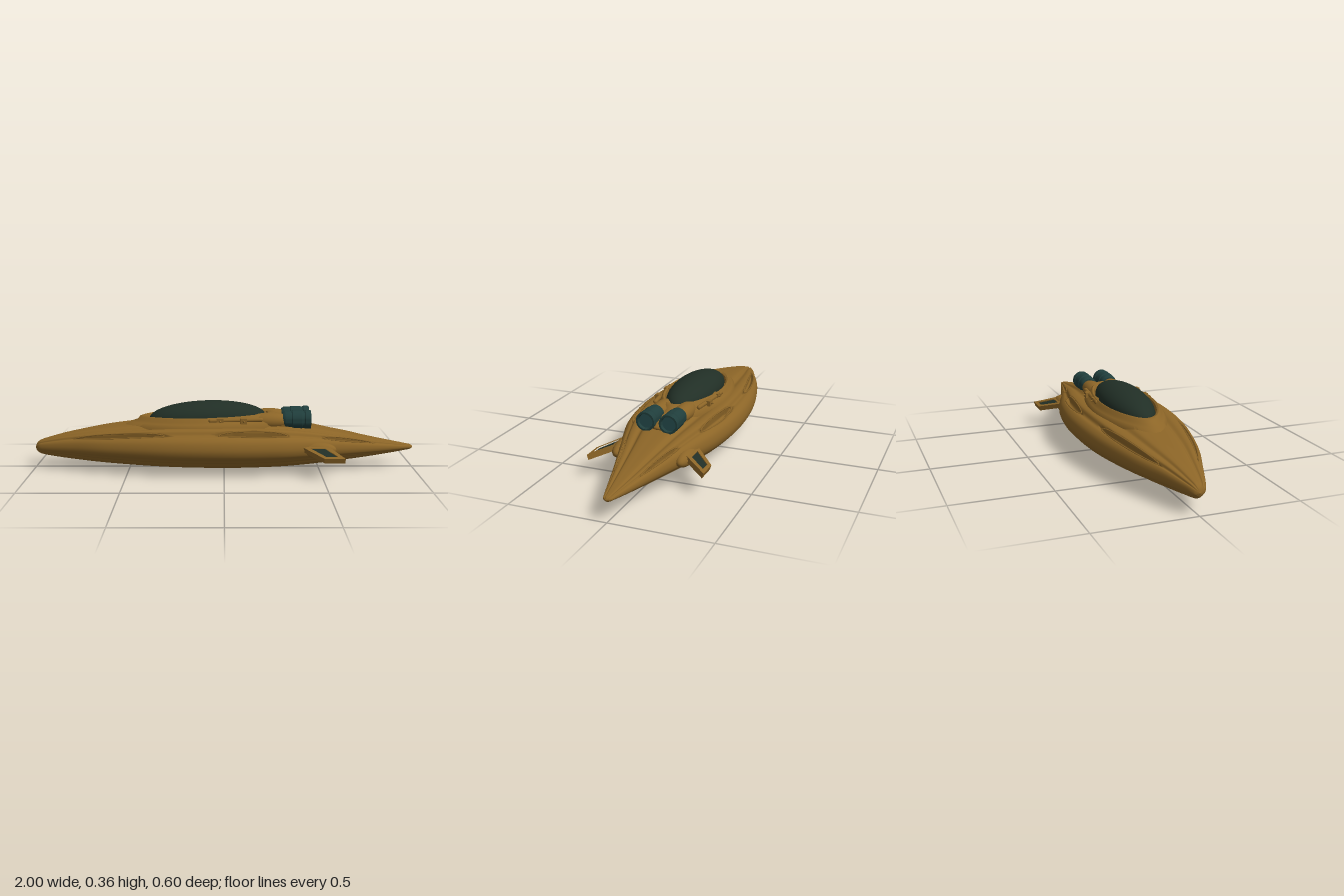
import * as THREE from 'three';
import { toCreasedNormals } from 'three/addons/utils/BufferGeometryUtils.js';

const V = (x, y, z = 0) => new THREE.Vector3(x, y, z);

// Hull stations: x, half width, top, bottom
const STATIONS = [
  [-1, 0, 0.105, 0.105], [-0.985, 0.03, 0.135, 0.08], [-0.94, 0.055, 0.155, 0.065],
  [-0.8, 0.11, 0.19, 0.045], [-0.6, 0.185, 0.222, 0.025], [-0.3, 0.255, 0.25, 0.006],
  [0, 0.275, 0.258, 0], [0.25, 0.248, 0.25, 0.005], [0.42, 0.2, 0.23, 0.016],
  [0.6, 0.14, 0.195, 0.036], [0.8, 0.078, 0.155, 0.063], [0.96, 0.03, 0.125, 0.09],
  [0.99, 0.018, 0.118, 0.097], [1, 0, 0.108, 0.108],
];
// Lobed half section at the widest station, bottom to top: z, y
const SECTION = [
  [0, 0.003], [0.05, 0.006], [0.085, 0.02], [0.1, 0.035], [0.12, 0.03], [0.155, 0.04],
  [0.175, 0.062], [0.2, 0.068], [0.23, 0.075], [0.245, 0.09], [0.265, 0.11], [0.275, 0.145],
  [0.265, 0.185], [0.24, 0.208], [0.215, 0.213], [0.2, 0.235], [0.165, 0.24], [0.13, 0.232],
  [0.1, 0.25], [0.05, 0.255], [0, 0.255],
];
// Slots along the upper groove: start and end in station units
const SLOTS = [[3.15, 5], [5.9, 7.4], [8.5, 9.9]];
const SLOT_U = 0.7, SLOT_W = 0.045;

const spline = (pts) => new THREE.CatmullRomCurve3(pts, false, 'catmullrom');
const plan = spline(STATIONS.map(([x, w]) => V(x, w)));
const heights = spline(STATIONS.map(([, , top, bottom]) => V(top, bottom)));
const section = spline(SECTION.map(([z, y]) => V(z / 0.275, (y - 0.003) / 0.252)));

// Point on the hull: t runs nose to tail in station units, u bottom to top
function hullPoint(t, u, side, dent = 0) {
  const k = t / (STATIONS.length - 1);
  const p = plan.getPoint(k), h = heights.getPoint(k), s = section.getPoint(u);
  const tall = h.x - h.y;
  return V(p.x, h.y + (s.y - dent * 0.11) * tall, side * p.y * s.x * (1 - dent * 0.06));
}

function slotDent(t, u) {
  for (const [a, b] of SLOTS) {
    const s = (2 * t - a - b) / (b - a);
    if (Math.abs(s) >= 1) continue;
    const d = Math.abs(u - SLOT_U) / (SLOT_W * Math.sqrt(1 - s * s));
    if (d < 1) return 1 - THREE.MathUtils.smoothstep(d, 0.65, 1);
  }
  return 0;
}

function hullGeometry() {
  const along = 156, half = 80, around = half * 2, pos = [], index = [];
  for (let i = 0; i <= along; i++) {
    const t = (i / along) * (STATIONS.length - 1);
    for (let j = 0; j < around; j++) {
      const u = j <= half ? j / half : 2 - j / half;
      pos.push(...hullPoint(t, u, j <= half ? 1 : -1, slotDent(t, u)).toArray());
    }
  }
  for (let i = 0; i < along; i++) for (let j = 0; j < around; j++) {
    const a = i * around + j, b = i * around + (j + 1) % around;
    index.push(a, a + around, b, b, a + around, b + around);
  }
  const g = new THREE.BufferGeometry();
  g.setAttribute('position', new THREE.Float32BufferAttribute(pos, 3));
  g.setIndex(index);
  g.computeVertexNormals();
  return g;
}

export function createModel() {
  const model = new THREE.Group();
  const material = (name, color) => {
    const m = new THREE.MeshStandardMaterial({ color });
    m.name = name;
    return m;
  };
  const gold = material('bronze gold', 0x8c6527);
  const dark = material('dark green glass', 0x212f26);
  const teal = material('engine teal', 0x203e3c);
  const glow = material('exhaust teal', 0x254c4e);

  const add = (name, geo, mat, x = 0, y = 0, z = 0, parent = model) => {
    const m = new THREE.Mesh(geo, mat);
    m.name = name;
    m.position.set(x, y, z);
    parent.add(m);
    return m;
  };
  const ellipsoid = (rx, ry, rz) => new THREE.SphereGeometry(1, 48, 28).scale(rx, ry, rz);
  const lathe = (pts, n) => new THREE.LatheGeometry(pts.map(([r, y]) => new THREE.Vector2(r, y)), n);

  add('hull', hullGeometry(), gold);

  // Raised lips round the slots
  for (const side of [1, -1]) for (const [a, b] of SLOTS) {
    const pts = [];
    for (let i = 0; i < 40; i++) {
      const q = (i / 40) * Math.PI * 2;
      pts.push(hullPoint((a + b) / 2 + Math.cos(q) * (b - a) / 2, SLOT_U + Math.sin(q) * SLOT_W, side));
    }
    add('slotLip', new THREE.TubeGeometry(new THREE.CatmullRomCurve3(pts, true), 80, 0.0035, 6, true), gold);
  }

  // Cockpit collar, narrowed towards its ends, and canopy
  const cockpit = new THREE.Group();
  cockpit.name = 'cockpit';
  cockpit.position.set(-0.085, 0.215, 0);
  cockpit.rotation.z = 0.03;
  model.add(cockpit);
  const collar = lathe([[1.1, 0], [1.08, 0.03], [1, 0.045], [0.92, 0.055], [0.89, 0.07],
    [0.85, 0.075], [0.8, 0.07], [0.77, 0.045]], 72).scale(0.4, 1, 0.165);
  const cp = collar.attributes.position;
  for (let i = 0; i < cp.count; i++) cp.setZ(i, cp.getZ(i) * (1 - 0.3 * (cp.getX(i) / 0.44) ** 2));
  collar.computeVertexNormals();
  add('collar', toCreasedNormals(collar, 0.7), gold, 0, 0, 0, cockpit);
  add('canopy', ellipsoid(0.307, 0.087, 0.117), dark, 0, 0.053, 0, cockpit);

  // Cradle between collar and engines
  add('engineCradle', ellipsoid(0.19, 0.04, 0.1), gold, 0.25, 0.235, 0);

  const engineGeo = toCreasedNormals(lathe([[0, 0], [0.036, 0], [0.044, 0.012], [0.044, 0.045],
    [0.048, 0.05], [0.048, 0.1], [0.045, 0.104], [0.045, 0.112], [0.049, 0.117], [0.048, 0.145],
    [0.039, 0.145], [0.036, 0.128]], 40).rotateZ(-Math.PI / 2), 0.6);
  const exhaustGeo = new THREE.CircleGeometry(0.0375, 40).rotateY(Math.PI / 2);

  for (const side of [1, -1]) {
    // Engine with fairing
    add('engineFairing', ellipsoid(0.12, 0.043, 0.047), gold, 0.24, 0.26, side * 0.06);
    add('engine', engineGeo, teal, 0.305, 0.267, side * 0.06);
    add('exhaust', exhaustGeo, glow, 0.434, 0.267, side * 0.06);

    // Rail and clips beside the cockpit
    const rail = add('sideRail', new THREE.CapsuleGeometry(0.011, 0.26, 6, 12).rotateZ(Math.PI / 2),
      gold, 0.06, 0.277, side * 0.132);
    rail.rotation.y = side * 0.1;
    for (const x of [-0.02, 0.1]) {
      add('clip', new THREE.BoxGeometry(0.035, 0.028, 0.03), gold, x, 0.275, side * 0.137);
      const pin = add('clipPin', new THREE.ConeGeometry(0.013, 0.035, 8), gold, x, 0.274, side * 0.15);
      pin.rotation.x = side * 1.4;
    }

    // Swept fin: framed plate with a dark inset
    const fin = new THREE.Group();
    fin.name = 'fin';
    fin.position.set(0, 0.155, side * 0.15);
    fin.rotation.x = side * 0.33;
    model.add(fin);
    const outline = (pts) => pts.map(([x, z]) => new THREE.Vector2(x, side * z));
    const inset = outline([[0.435, 0.055], [0.51, 0.137], [0.568, 0.137], [0.512, 0.055]]);
    const frame = new THREE.Shape(outline([[0.375, 0.02], [0.405, 0.055], [0.5, 0.155],
      [0.605, 0.155], [0.53, 0.04], [0.53, 0.02]]));
    frame.holes.push(new THREE.Path(inset));
    const plate = (shape, depth) => new THREE.ExtrudeGeometry(shape, { depth, bevelEnabled: false })
      .translate(0, 0, -depth / 2).rotateX(Math.PI / 2);
    add('finFrame', plate(frame, 0.026), gold, 0, 0, 0, fin);
    add('finPanel', plate(new THREE.Shape(inset), 0.016), dark, 0, 0, 0, fin);
    add('finSocket', ellipsoid(0.1, 0.04, 0.04), gold, 0.475, 0.13, side * 0.165);
  }
  return model;
}
